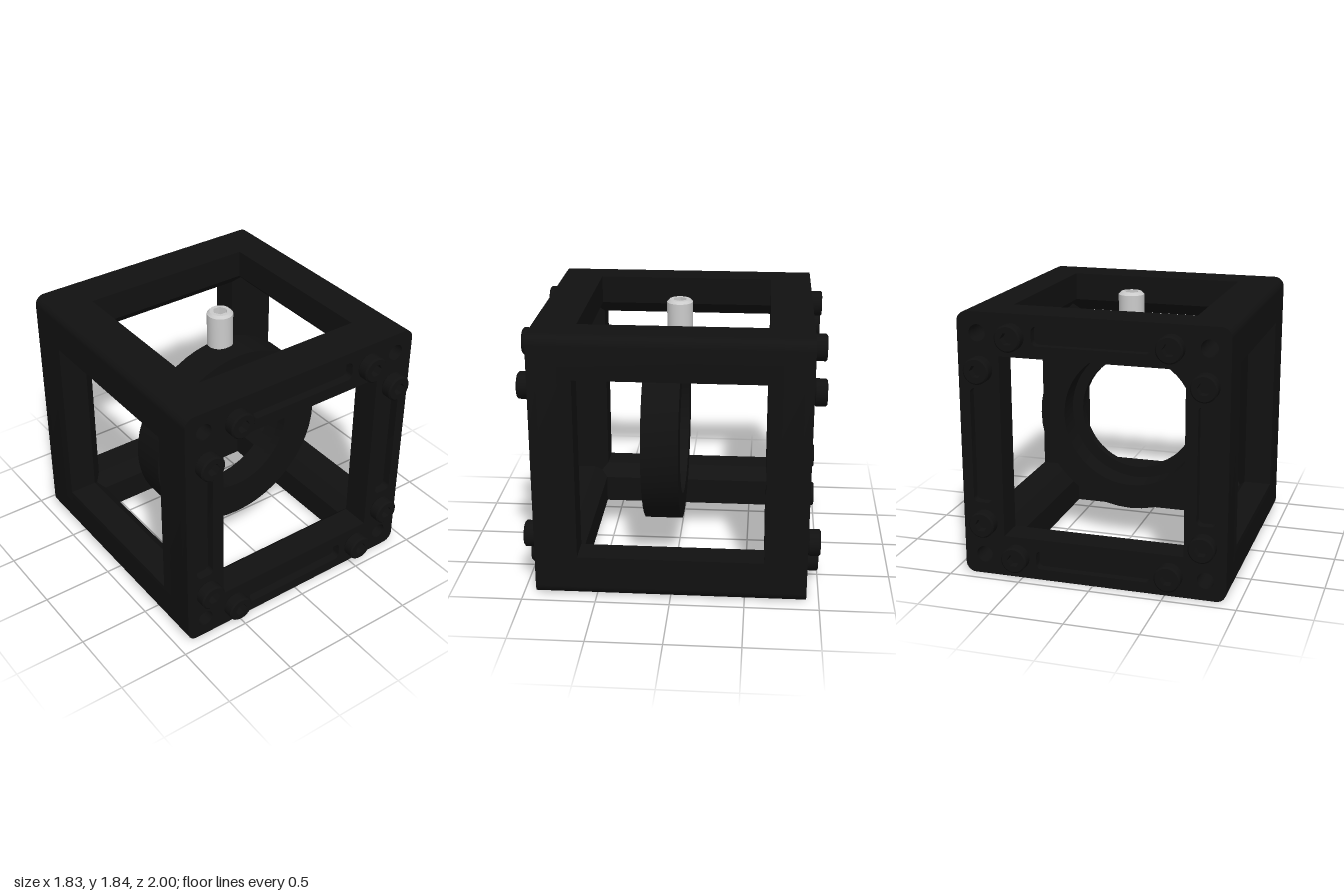
import * as THREE from 'three';
import { toCreasedNormals } from 'three/addons/utils/BufferGeometryUtils.js';

const OUT = 0.915;    // half size of the cube
const IN = 0.627;     // half size of the windows
const CH = 0.09;      // chamfer on the inner edges of the beams
const ROD = 0.775;    // offset of the corner holes
const MID = OUT;      // height of the cube centre

const black = new THREE.MeshStandardMaterial({ color: 0x111111 });
const steel = new THREE.MeshStandardMaterial({ color: 0xcccccc });

function mesh(name, geometry, material = black) {
  const m = new THREE.Mesh(toCreasedNormals(geometry, 0.6), material);
  m.name = name;
  return m;
}

const extrude = (shape, depth) =>
  new THREE.ExtrudeGeometry(shape, { depth, bevelEnabled: false, curveSegments: 12 });

function circle(x, y, r) {
  return new THREE.Path().absarc(x, y, r, 0, Math.PI * 2, true);
}

// Rounded rectangle around (cx, cy) with half sizes w and h
function roundRect(Type, cx, cy, w, h, r) {
  const p = new Type();
  p.absarc(cx + w - r, cy + h - r, r, 0, Math.PI / 2);
  p.absarc(cx - w + r, cy + h - r, r, Math.PI / 2, Math.PI);
  p.absarc(cx - w + r, cy - h + r, r, Math.PI, Math.PI * 1.5);
  p.absarc(cx + w - r, cy - h + r, r, Math.PI * 1.5, Math.PI * 2);
  p.closePath();
  return p;
}

const polygon = pts => pts.map(([x, y]) => new THREE.Vector2(x, y));

// Square frame with window and corner holes, optionally with the four long slots
function frameShape(slots) {
  const s = roundRect(THREE.Shape, 0, 0, OUT, OUT, 0.07);
  s.holes.push(new THREE.Path(polygon([[-IN, -IN], [-IN, IN], [IN, IN], [IN, -IN]])));
  for (const a of [-1, 1]) {
    for (const b of [-1, 1]) s.holes.push(circle(a * ROD, b * ROD, 0.057));
    if (slots) {
      s.holes.push(roundRect(THREE.Path, 0, a * ROD, 0.4, 0.065, 0.035));
      s.holes.push(roundRect(THREE.Path, a * ROD, 0, 0.065, 0.4, 0.035));
    }
  }
  return s;
}

// Socket screw standing on y = 0, with bevelled rim and hexagonal recess
function socketScrew(name, r, height, bevel, hexR, hexDepth, material) {
  const g = new THREE.Group();
  g.name = name;
  g.add(mesh('screwBody', new THREE.LatheGeometry(polygon([
    [0, 0], [r - 0.01, 0], [r, 0.01], [r, height - bevel], [r - bevel, height],
  ]), 32), material));
  const rim = new THREE.Shape().absarc(0, 0, r - bevel, 0, Math.PI * 2);
  const hex = [0, 1, 2, 3, 4, 5].map(k =>
    new THREE.Vector2(Math.cos(k * Math.PI / 3), Math.sin(k * Math.PI / 3)).multiplyScalar(hexR));
  rim.holes.push(new THREE.Path(hex));
  const top = mesh('screwTop', new THREE.ShapeGeometry(rim, 16).rotateX(-Math.PI / 2), material);
  top.position.y = height;
  const inner = material.clone();
  inner.side = THREE.DoubleSide;
  const wall = mesh('socketWall',
    new THREE.CylinderGeometry(hexR, hexR, hexDepth, 6, 1, true, Math.PI / 6), inner);
  wall.position.y = height - hexDepth / 2;
  const floor = mesh('socketFloor', new THREE.CircleGeometry(hexR, 6).rotateX(-Math.PI / 2), material);
  floor.position.y = height - hexDepth;
  g.add(top, wall, floor);
  return g;
}

// One end of the cage, facing +z
function endFrame(name) {
  const g = new THREE.Group();
  g.name = name;
  const slotDepth = 0.06;
  const face = mesh('slottedFace', extrude(frameShape(true), slotDepth));
  face.position.z = OUT - slotDepth;
  const back = mesh('framePlate', extrude(frameShape(false), OUT - slotDepth - IN - CH));
  back.position.z = IN + CH;
  g.add(face, back);

  // Chamfered inner strips of the four bars
  const strip = new THREE.Shape(polygon([
    [IN, IN + CH], [IN + CH, IN], [OUT, IN], [OUT, IN + CH],
  ]));
  const len = 2 * (IN + CH);
  for (let k = 0; k < 4; k++) {
    // Profile x becomes height, profile y becomes z, length runs along x
    const geo = extrude(strip, len).translate(0, 0, -len / 2);
    geo.applyMatrix4(new THREE.Matrix4().set(0, 0, 1, 0, 1, 0, 0, 0, 0, 1, 0, 0, 0, 0, 0, 1));
    const bar = mesh('barChamfer', geo);
    bar.rotation.z = k * Math.PI / 2;
    g.add(bar);
  }

  // Two screws beside every corner hole
  for (const a of [-1, 1]) for (const b of [-1, 1]) {
    for (const [x, y] of [[0.535, 0.765], [0.76, 0.535]]) {
      const s = socketScrew('capScrew', 0.09, 0.085, 0.01, 0.045, 0.06, black);
      s.rotation.x = Math.PI / 2;
      s.position.set(a * x, b * y, OUT);
      g.add(s);
    }
  }
  return g;
}

export function createModel() {
  const model = new THREE.Group();
  model.name = 'cageCube';
  const body = new THREE.Group();
  body.name = 'body';
  body.position.y = MID;
  model.add(body);

  const front = endFrame('frontFrame');
  const rear = endFrame('rearFrame');
  rear.rotation.y = Math.PI;
  body.add(front, rear);

  // Four long corner beams joining the end frames
  const section = new THREE.Shape();
  section.moveTo(IN + CH, IN);
  section.lineTo(OUT, IN);
  section.absarc(OUT - 0.07, OUT - 0.07, 0.07, 0, Math.PI / 2);
  section.lineTo(IN, OUT);
  section.lineTo(IN, IN + CH);
  section.closePath();
  section.holes.push(circle(ROD, ROD, 0.057));
  const len = 2 * (IN + CH);
  for (let k = 0; k < 4; k++) {
    const beam = mesh('cornerBeam', extrude(section, len).translate(0, 0, -len / 2));
    beam.rotation.z = k * Math.PI / 2;
    body.add(beam);
  }

  // Holder ring with a wider bore at the back
  const ring = new THREE.LatheGeometry(polygon([
    [0.5, -0.035], [0.677, -0.035], [0.677, 0.22], [0.42, 0.22],
    [0.42, 0.15], [0.5, 0.15], [0.5, -0.035],
  ]), 48);
  body.add(mesh('holderRing', ring.rotateX(Math.PI / 2)));

  // Set screw above the ring
  const setScrew = socketScrew('setScrew', 0.09, 0.28, 0.018, 0.05, 0.08, steel);
  setScrew.position.y = 1.56;
  model.add(setScrew);
  return model;
}
